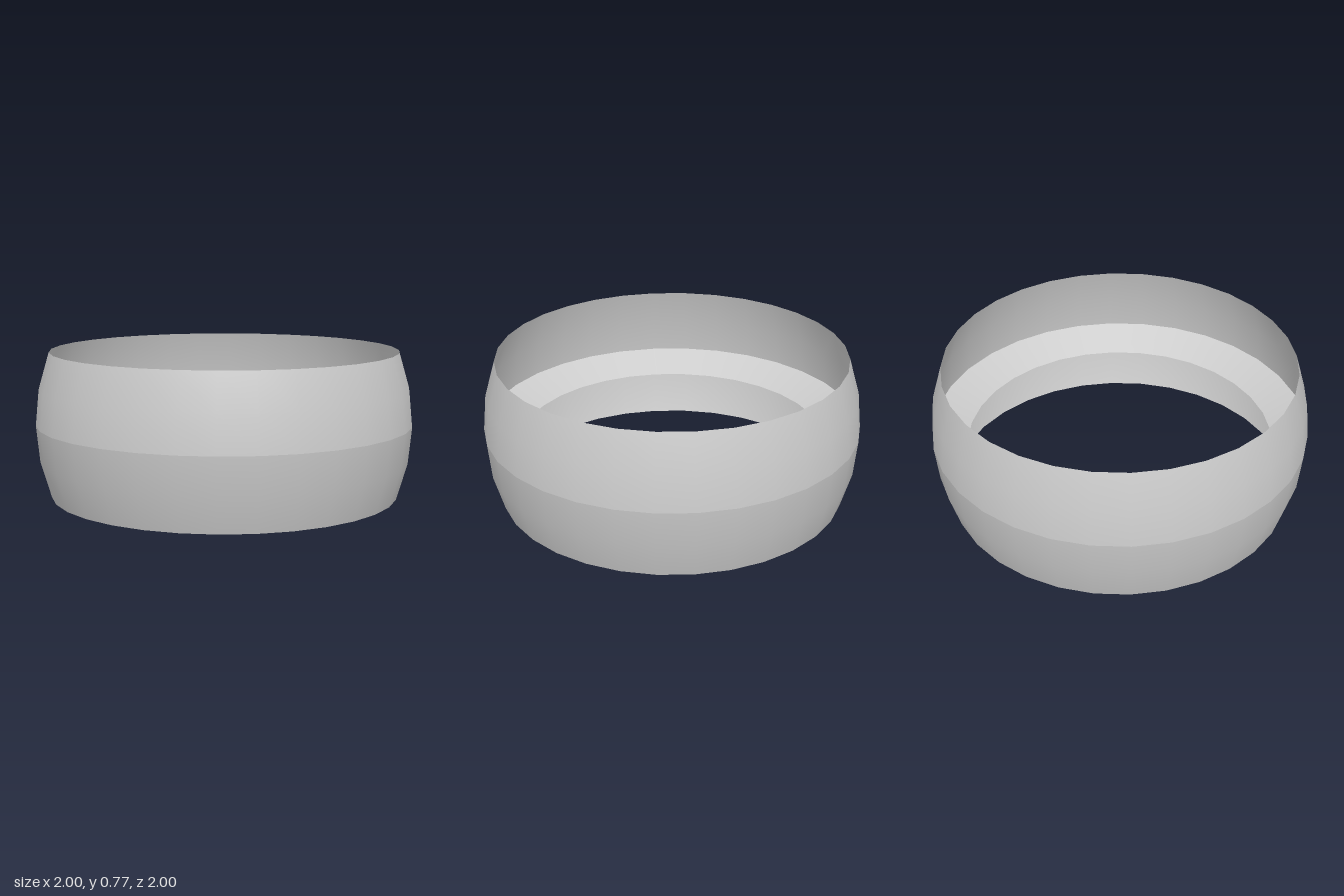
import * as THREE from 'three';

const SEGMENTS = 32;
const HEIGHT = 0.77;
const MID = HEIGHT / 2;

export function createModel() {
  const group = new THREE.Group();
  group.name = 'ring';
  const material = new THREE.MeshStandardMaterial({ color: 0xcccccc, side: THREE.DoubleSide });

  // Each part is a thin sheet turned around the y axis
  const addTurned = (name, profile) => {
    const points = profile.map(([r, y]) => new THREE.Vector2(r, y));
    const mesh = new THREE.Mesh(new THREE.LatheGeometry(points, SEGMENTS), material);
    mesh.name = name;
    group.add(mesh);
  };

  // Bulging outer band in two halves, creased where they meet
  addTurned('lowerBand', [[0.925, 0], [0.981, MID / 2], [1, MID]]);
  addTurned('upperBand', [[1, MID], [0.981, MID * 1.5], [0.925, HEIGHT]]);

  // Conical ledge sloping down and inward from the widest line
  addTurned('innerLedge', [[1, MID], [0.82, 0.293]]);

  return group;
}
